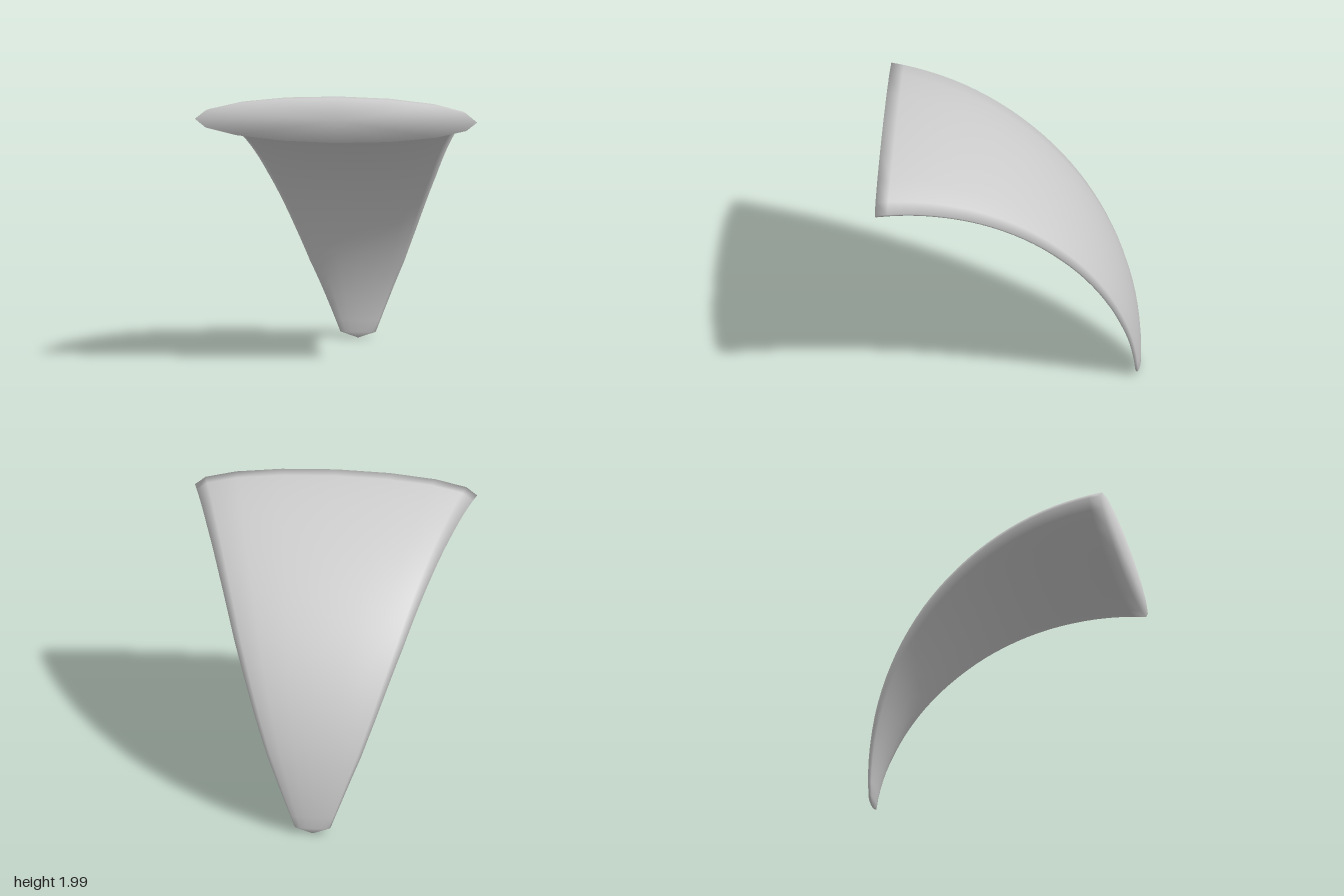
import * as THREE from 'three';

const SIDES = 16, RINGS = 32;
// half-width along the quarter-circle sweep: [t, width]
const TAPER = [[0, 1], [0.18, 0.87], [0.34, 0.745], [0.52, 0.6], [0.63, 0.5], [0.71, 0.425], [0.8, 0.335], [0.86, 0.265], [0.985, 0.125]];

function widthAt(t) {
  let i = 0;
  while (i < TAPER.length - 2 && t > TAPER[i + 1][0]) i++;
  const [t0, w0] = TAPER[i], [t1, w1] = TAPER[i + 1];
  return w0 + (w1 - w0) * (t - t0) / (t1 - t0);
}

// flattened elliptical section swept along an arc, closed by a flat cap and a blunt tip
function curvedHornGeometry() {
  const pos = [], idx = [];
  for (let i = 0; i <= RINGS; i++) {
    const t = 0.985 * i / RINGS, a = t * Math.PI / 2;
    const w = widthAt(t), h = 0.16 * w;
    const cy = 1.83 * Math.cos(a), cz = 0.91 - 1.8 * Math.sin(a);
    for (let j = 0; j < SIDES; j++) {
      const p = j / SIDES * Math.PI * 2, n = h * Math.sin(p);
      pos.push(w * Math.cos(p), cy + n * Math.cos(a), cz - n * Math.sin(a));
    }
  }
  const front = pos.length / 3, tip = front + 1;
  pos.push(0, 1.83, 0.91, 0, 0, -0.89);
  for (let j = 0; j < SIDES; j++) {
    const k = (j + 1) % SIDES, last = RINGS * SIDES;
    for (let i = 0; i < RINGS; i++) {
      const r = i * SIDES, s = r + SIDES;
      idx.push(r + j, s + j, r + k, s + j, s + k, r + k);
    }
    idx.push(front, j, k, last + j, tip, last + k);
  }
  const g = new THREE.BufferGeometry();
  g.setAttribute('position', new THREE.Float32BufferAttribute(pos, 3));
  g.setIndex(idx);
  g.computeVertexNormals();
  return g;
}

export function createModel() {
  const group = new THREE.Group();
  const grey = new THREE.MeshStandardMaterial({ color: 0xcccccc });
  grey.name = 'light grey';
  const blade = new THREE.Mesh(curvedHornGeometry(), grey);
  blade.name = 'curvedBlade';
  group.add(blade);
  return group;
}
